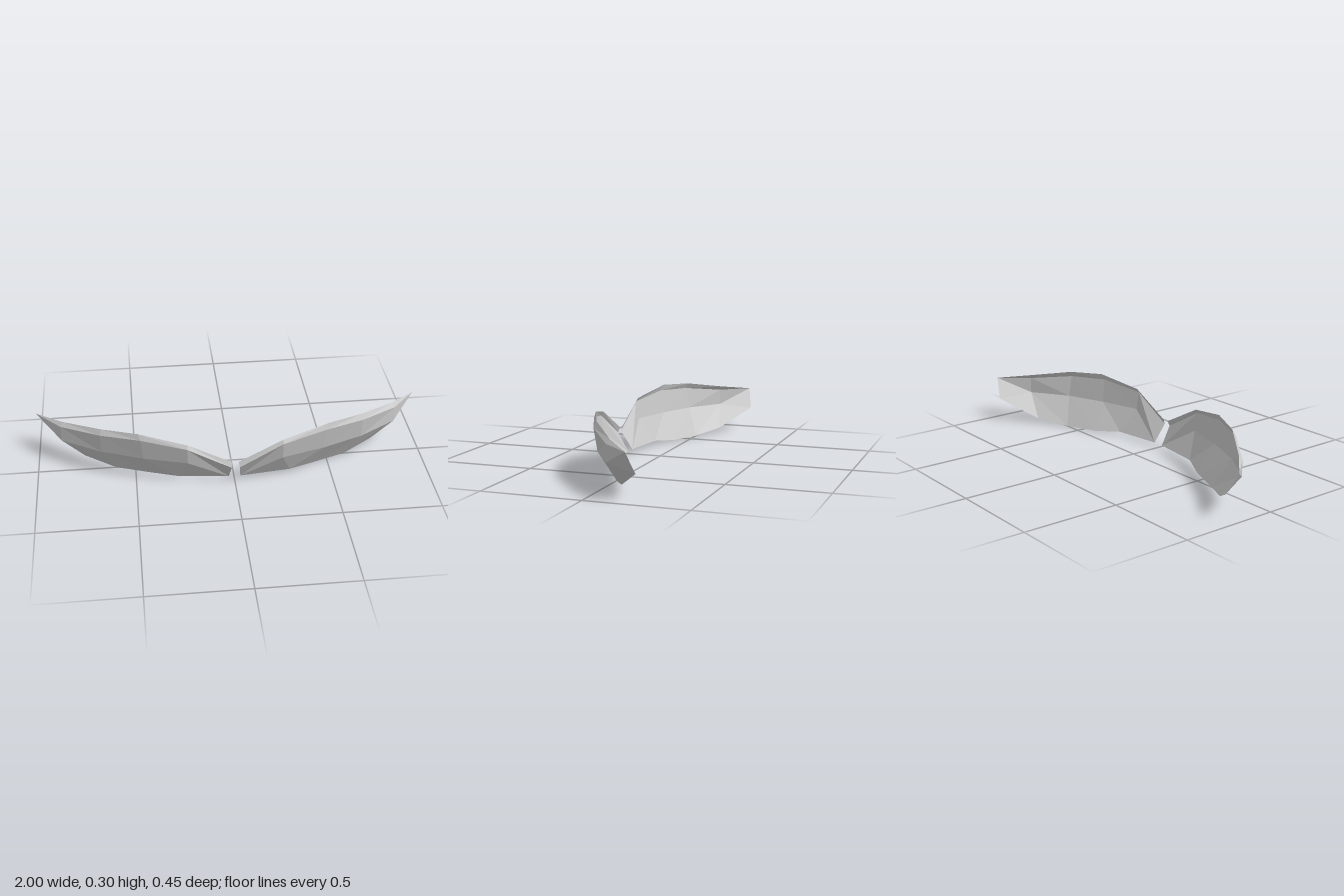
import * as THREE from 'three';

// Rows of one lens, each running from the nose to the outer tip
const nose = [0.03, 0.02, 0.167];
const topTip = [1.0, 0.23, -0.203];
const lowTip = [0.94, 0.123, -0.228];
const rim = [[0.016, 0.142, 0.217], [0.24, 0.26, 0.215], [0.48, 0.303, 0.153], [0.66, 0.291, 0.073], [0.86, 0.253, -0.075], topTip];
const crease = [[0.02, 0.115, 0.227], [0.24, 0.24, 0.227], [0.47, 0.272, 0.167], [0.67, 0.262, 0.085], [0.87, 0.232, -0.06], topTip];
const middle = [nose, [0.24, 0.148, 0.21], [0.46, 0.149, 0.147], [0.67, 0.15, 0.065], [0.87, 0.148, -0.06], lowTip];
const bottom = [nose, [0.29, 0.019, 0.135], [0.42, 0.004, 0.07], [0.6, 0.001, 0], [0.76, 0.025, -0.09], lowTip];

// Faceted strip between an upper and a lower row; side = -1 mirrors it
function strip(rows, side) {
  const positions = [];
  const triangle = (a, b, c) => {
    if (a === b || b === c || a === c) return;
    const corners = side > 0 ? [a, b, c] : [a, c, b];
    corners.forEach(([x, y, z]) => positions.push(x * side, y, z));
  };
  for (let r = 0; r < rows.length - 1; r++) {
    const upper = rows[r], lower = rows[r + 1];
    for (let i = 0; i < upper.length - 1; i++) {
      triangle(lower[i], upper[i + 1], upper[i]);
      triangle(lower[i], lower[i + 1], upper[i + 1]);
    }
  }
  const geometry = new THREE.BufferGeometry();
  geometry.setAttribute('position', new THREE.Float32BufferAttribute(positions, 3));
  geometry.computeVertexNormals();
  return geometry;
}

export function createModel() {
  const group = new THREE.Group();
  group.name = 'lensPair';
  const tint = new THREE.MeshStandardMaterial({ color: 0xc8c8c8, side: THREE.DoubleSide, flatShading: true });
  tint.name = 'paleGrey';

  for (const side of [1, -1]) {
    const lens = new THREE.Group();
    lens.name = side > 0 ? 'leftLens' : 'rightLens';

    // Curved pane and the bevelled strip along its top
    const pane = new THREE.Mesh(strip([crease, middle, bottom], side), tint);
    pane.name = 'lensPane';
    const edge = new THREE.Mesh(strip([rim, crease], side), tint);
    edge.name = 'lensTopBevel';
    lens.add(pane, edge);
    group.add(lens);
  }
  return group;
}
